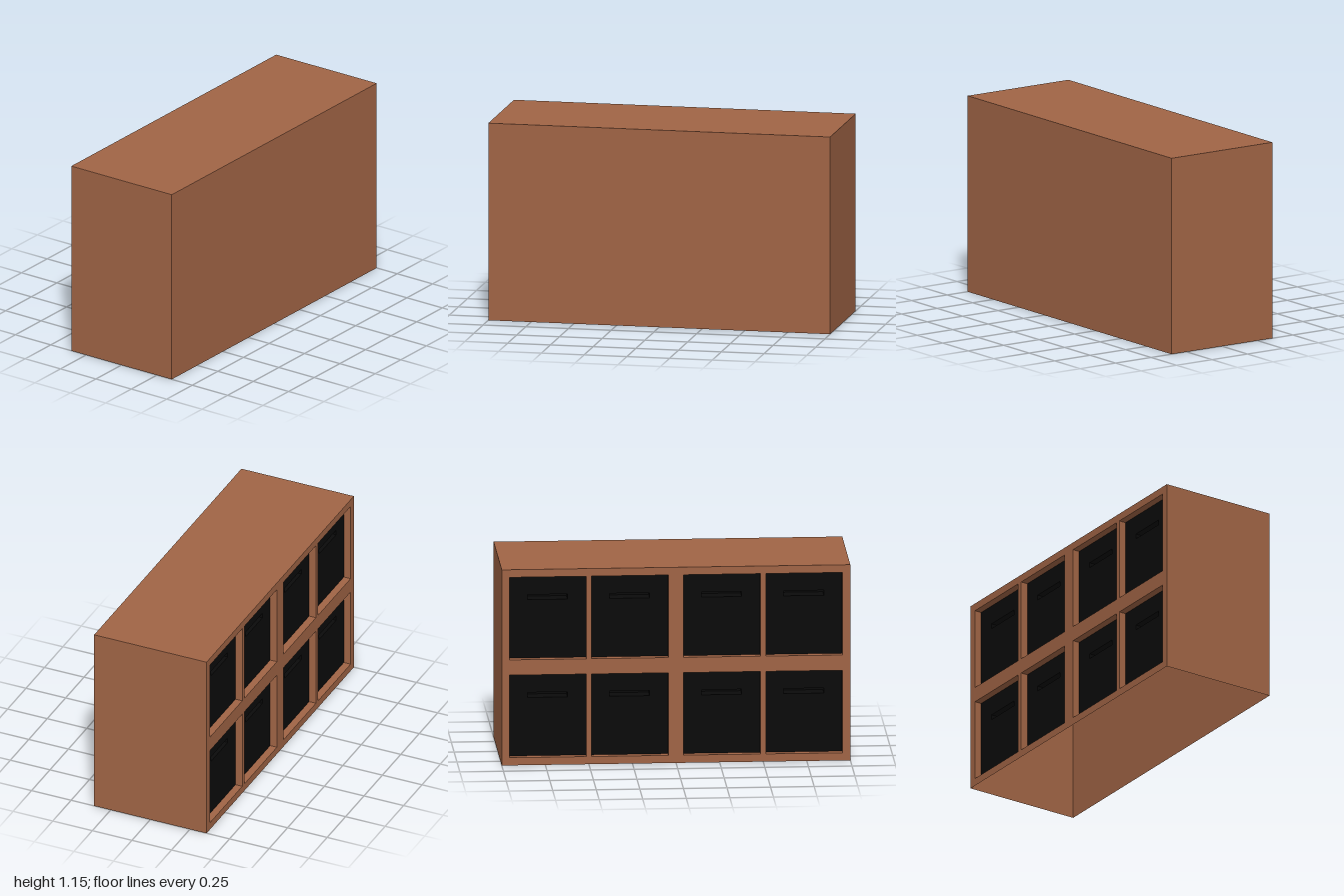
import * as THREE from 'three';

const W = 0.71, H = 1.15, L = 2;            // overall depth (x), height, length (z)
const FACE_X = -W / 2;                      // drawer side of the cabinet
const RECESS = 0.043;                       // how far drawer fronts sit back
const OPEN_W = 0.441, OPEN_H = 0.485;       // one drawer opening
const SLOT_W = 0.23, SLOT_H = 0.03, SLOT_D = 0.09;

const wood = new THREE.MeshStandardMaterial({ color: 0xa06445, side: THREE.DoubleSide });
const black = new THREE.MeshStandardMaterial({ color: 0x0a0a0a, side: THREE.DoubleSide });

function addMesh(parent, name, geometry, material) {
  const mesh = new THREE.Mesh(geometry, material);
  mesh.name = name;
  parent.add(mesh);
  return mesh;
}

// Thin-walled box without the listed faces (0 +x, 1 -x, 2 +y, 3 -y, 4 +z, 5 -z)
function openBox(w, h, d, omitted) {
  const geometry = new THREE.BoxGeometry(w, h, d);
  const index = Array.from(geometry.index.array);
  geometry.setIndex(index.filter((_, i) => !omitted.includes(Math.floor(i / 6))));
  geometry.clearGroups();
  return geometry;
}

function rectangle(PathType, z, y, w, h) {
  const path = new PathType();
  path.moveTo(z - w / 2, y - h / 2);
  path.lineTo(z + w / 2, y - h / 2);
  path.lineTo(z + w / 2, y + h / 2);
  path.lineTo(z - w / 2, y + h / 2);
  path.closePath();
  return path;
}

// Flat sheet facing -x, with rectangular holes given as [z, y, w, h]
function sheet(z, y, w, h, holes) {
  const shape = rectangle(THREE.Shape, z, y, w, h);
  shape.holes = holes.map((hole) => rectangle(THREE.Path, ...hole));
  return new THREE.ShapeGeometry(shape).rotateY(-Math.PI / 2);
}

export function createModel() {
  const model = new THREE.Group();
  model.name = 'drawerCabinet';

  // Carcass: top, ends and back, open underneath
  addMesh(model, 'carcass', openBox(W, H, L, [1, 3]), wood).position.y = H / 2;

  // Two rows of four openings
  const openings = [];
  for (const y of [0.2875, 0.8625])
    for (const z of [-0.7355, -0.2645, 0.2645, 0.7355]) openings.push([z, y, OPEN_W, OPEN_H]);
  addMesh(model, 'faceFrame', sheet(0, H / 2, L, H, openings), wood).position.x = FACE_X;

  for (const [z, y] of openings) {
    const drawer = new THREE.Group();
    drawer.name = 'drawer';
    drawer.position.set(FACE_X, y, z);
    model.add(drawer);

    // Wooden sides of the recess
    addMesh(drawer, 'recessSides', openBox(RECESS, OPEN_H, OPEN_W, [0, 1]), wood)
      .position.x = RECESS / 2;

    // Dark front with a slot, and the finger pocket behind it
    const slotY = 0.115;
    addMesh(drawer, 'drawerFront',
      sheet(0, 0, OPEN_W, OPEN_H, [[0, slotY, SLOT_W, SLOT_H]]), black).position.x = RECESS;
    addMesh(drawer, 'handlePocket', openBox(SLOT_D, SLOT_H, SLOT_W, [1]), black)
      .position.set(RECESS + SLOT_D / 2, slotY, 0);
  }
  return model;
}
